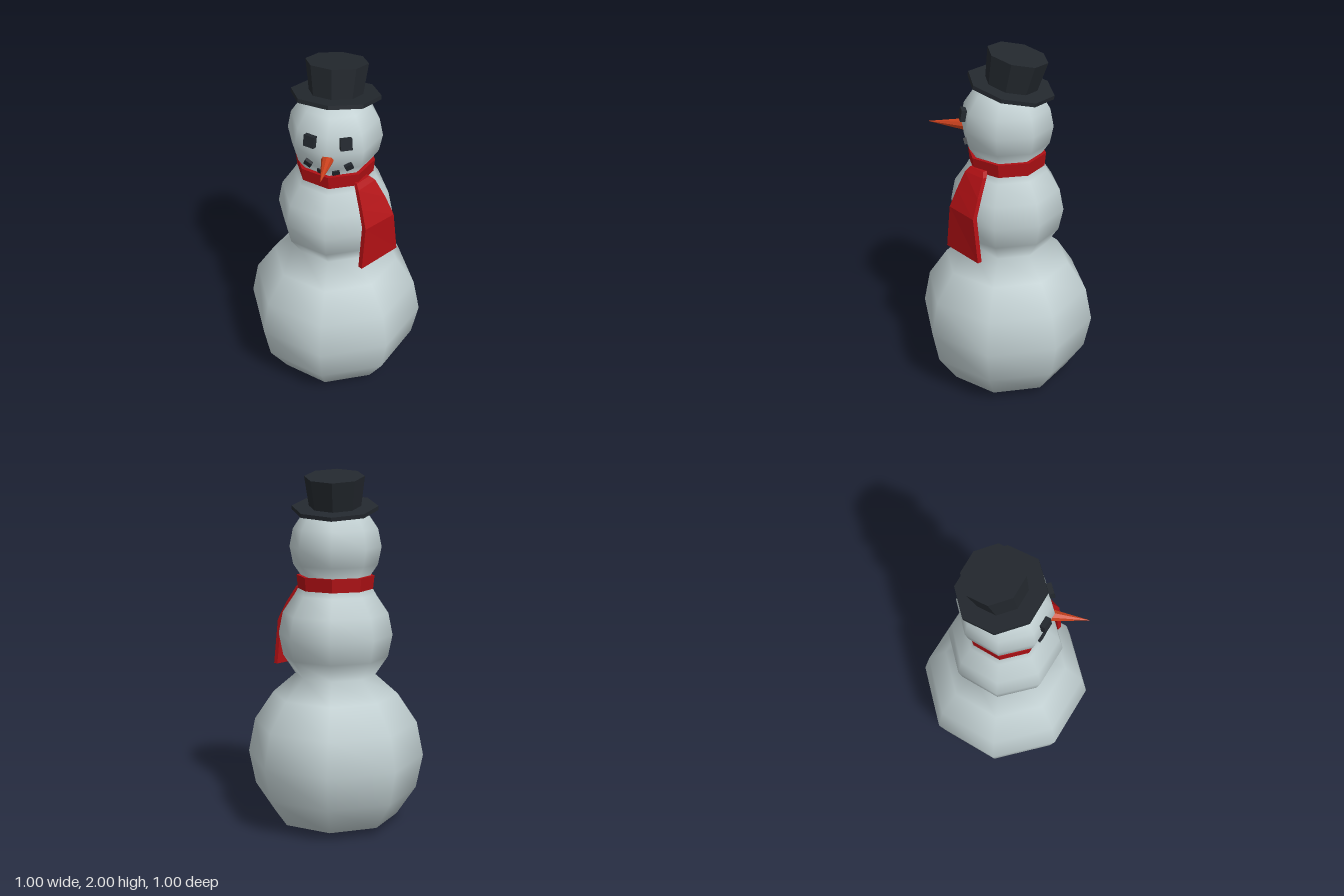
import * as THREE from 'three';

const SIDES = 8;
const paint = (color, flatShading = true) => new THREE.MeshStandardMaterial({ color, flatShading });

function add(parent, name, geometry, material, x = 0, y = 0, z = 0) {
  const mesh = new THREE.Mesh(geometry, material);
  mesh.name = name;
  mesh.position.set(x, y, z);
  parent.add(mesh);
  return mesh;
}

// Profile points of a ball between two steps of 22.5 degrees (0 = equator)
function ballProfile(centerY, radius, from, to) {
  const points = [];
  for (let i = from; i <= to; i++) {
    const a = i * Math.PI / 8;
    points.push(new THREE.Vector2(Math.max(0, radius * Math.cos(a)), centerY + radius * Math.sin(a)));
  }
  return points;
}

// Closed solid through four-cornered sections, listed from top to bottom
function loft(sections) {
  const pos = [];
  const quad = (a, b, c, d) => pos.push(...a, ...b, ...c, ...a, ...c, ...d);
  for (let i = 0; i < sections.length - 1; i++) {
    const top = sections[i], low = sections[i + 1];
    for (let j = 0; j < 4; j++) {
      const k = (j + 1) % 4;
      quad(top[j], low[j], low[k], top[k]);
    }
  }
  quad(...sections[0]);
  quad(...[...sections[sections.length - 1]].reverse());
  const geometry = new THREE.BufferGeometry();
  geometry.setAttribute('position', new THREE.Float32BufferAttribute(pos, 3));
  geometry.computeVertexNormals();
  return geometry;
}

export function createModel() {
  const model = new THREE.Group();
  model.name = 'snowman';
  const snow = paint(0xc0ced0, false);
  const coal = paint(0x23282e);
  const red = paint(0xb01014);
  const orange = paint(0xc8401c);

  // Three stacked balls in one smooth skin, flattened underneath
  const profile = [
    new THREE.Vector2(0, 0.003),
    new THREE.Vector2(0.19, 0.017),
    ...ballProfile(0.4, 0.5, -2, 2),
    ...ballProfile(1.09, 0.32, -2, 2),
    ...ballProfile(1.58, 0.255, -2, 4),
  ];
  add(model, 'body', new THREE.LatheGeometry(profile, SIDES), snow);

  // Scarf band around the neck
  const scarf = new THREE.Group();
  scarf.name = 'scarf';
  model.add(scarf);
  const band = [[0.15, 1.335], [0.208, 1.333], [0.217, 1.422], [0.15, 1.42], [0.15, 1.335]]
    .map(([r, y]) => new THREE.Vector2(r, y));
  add(scarf, 'scarfBand', new THREE.LatheGeometry(band, SIDES), red);

  // Hanging scarf end: height, front corner x z, rear corner x z
  const tail = [
    [1.37, 0.145, 0.17, 0.2, 0.085],
    [1.345, 0.158, 0.195, 0.23, 0.08],
    [1.25, 0.185, 0.235, 0.29, 0.095],
    [1.15, 0.21, 0.272, 0.34, 0.11],
    [0.9, 0.197, 0.296, 0.36, 0.082],
  ].map(([y, fx, fz, rx, rz]) => {
    const dx = 0.021, dz = 0.016;
    return [[fx, y, fz], [rx, y, rz], [rx - dx, y, rz - dz], [fx - dx, y, fz - dz]];
  });
  add(scarf, 'scarfEnd', loft(tail), red);

  // Coal eyes and mouth, mirrored
  const face = new THREE.Group();
  face.name = 'face';
  model.add(face);
  for (const s of [-1, 1]) {
    const eye = add(face, 'eye', new THREE.BoxGeometry(0.062, 0.062, 0.036), coal, s * 0.092, 1.644, 0.215);
    eye.rotation.set(-0.16, s * Math.PI / 8, 0, 'YXZ');
    const outer = add(face, 'mouthOuter', new THREE.BoxGeometry(0.042, 0.036, 0.03), coal, s * 0.105, 1.5, 0.198);
    outer.rotation.set(0.25, s * Math.PI / 8, s * 0.45, 'YXZ');
    const inner = add(face, 'mouthInner', new THREE.BoxGeometry(0.04, 0.034, 0.03), coal, s * 0.036, 1.46, 0.2);
    inner.rotation.set(0.35, s * Math.PI / 8, s * 0.15, 'YXZ');
  }

  // Carrot nose
  const nose = add(face, 'nose', new THREE.ConeGeometry(0.036, 0.22, SIDES), paint(0xc8401c, false), 0, 1.55, 0.33);
  nose.material = orange;
  nose.rotation.x = Math.PI / 2;

  // Top hat, tipped backwards
  const hat = new THREE.Group();
  hat.name = 'hat';
  hat.position.set(0, 1.793, -0.022);
  hat.rotation.x = -0.213;
  model.add(hat);
  add(hat, 'hatBrim', new THREE.CylinderGeometry(0.238, 0.238, 0.022, SIDES), coal);
  add(hat, 'hatCrown', new THREE.CylinderGeometry(0.165, 0.142, 0.175, SIDES), coal, 0, 0.0875, 0);

  return model;
}
